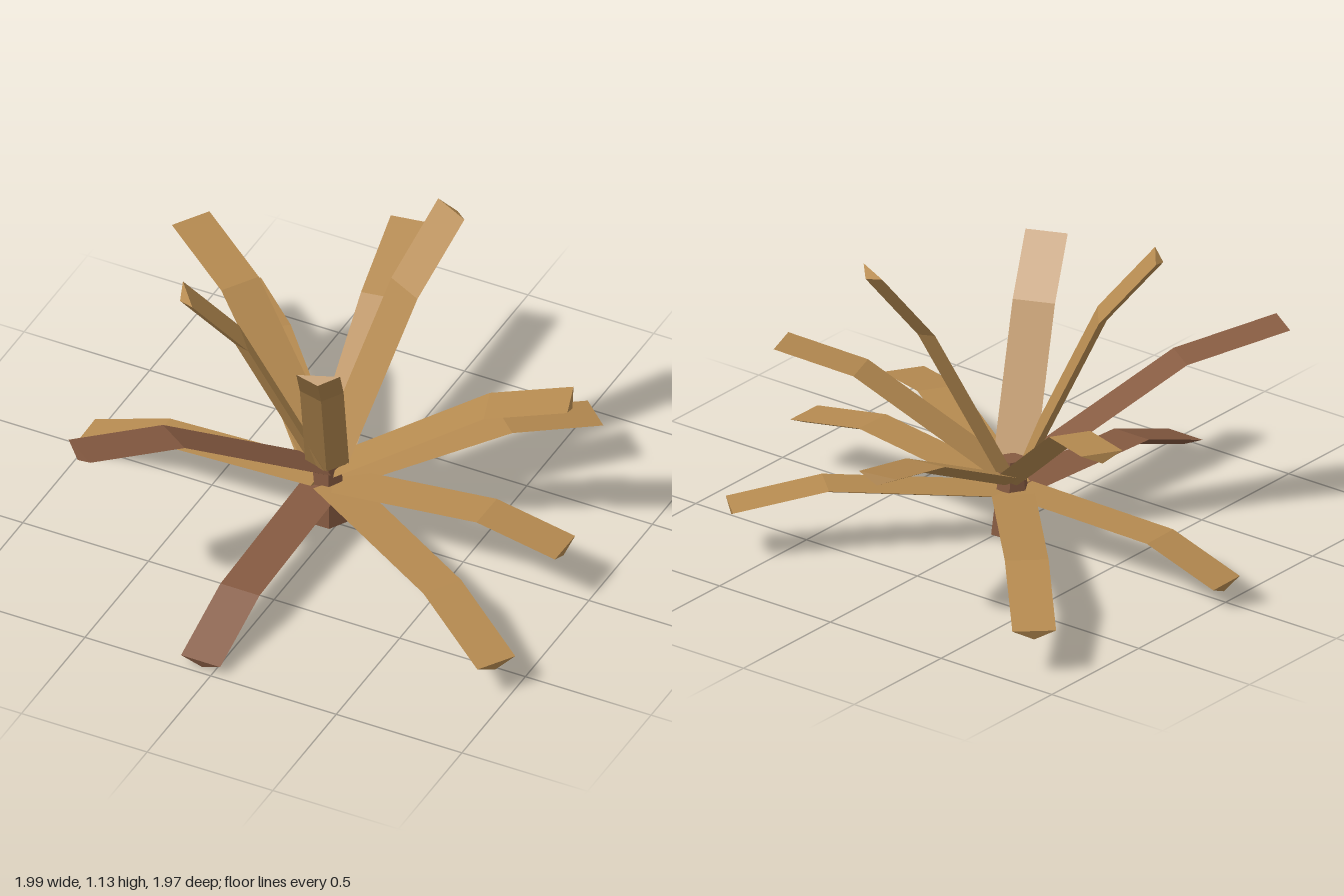
import * as THREE from 'three';

const TAN = 0xb58a50, BROWN = 0x855a41;
const CENTRE = new THREE.Vector3(-0.045, 0, -0.012);
const HALF_WIDTH = 0.078, DEPTH = 0.037;

// Each frond: tip x, y, z, then kink height, kink fraction along the plan, base height
const FRONDS = [
  { tip: [-0.85, 0.17, -0.91], kink: 0.26, at: 0.66, base: 0.18 },
  { tip: [0.64, 0.19, -0.765], kink: 0.25, at: 0.66, base: 0.18 },
  { tip: [0.905, 0.20, 0.0], kink: 0.255, at: 0.67, base: 0.18 },
  { tip: [0.95, 0.13, 0.63], kink: 0.22, at: 0.68, base: 0.18 },
  { tip: [-1.0, 0.07, 0.005], kink: 0.17, at: 0.69, base: 0.185 },
  { tip: [-0.05, 0.032, 0.98], kink: 0.143, at: 0.69, base: 0.175, color: BROWN },
  { tip: [-0.20, 0.62, -0.98], kink: 0.53, at: 0.645, base: 0.24 },
  { tip: [0.78, 0.62, -0.29], kink: 0.56, at: 0.655, base: 0.24 },
  { tip: [-0.845, 0.72, -0.515], kink: 0.65, at: 0.64, base: 0.24 },
  { tip: [-0.605, 0.68, 0.835], kink: 0.60, at: 0.62, base: 0.25, color: BROWN },
  { tip: [0.20, 1.13, -0.50], kink: 0.87, at: 0.62, base: 0.27 },
  { tip: [0.13, 0.98, 0.41], kink: 0.78, at: 0.63, base: 0.27 },
  { tip: [-0.44, 1.08, 0.31], kink: 0.85, at: 0.60, base: 0.27 },
];

// Flat-topped blade with a keel below, swept base -> kink -> tip
function frondGeometry({ tip, kink, at, base }) {
  const end = new THREE.Vector3(...tip);
  const plan = (f, y) => CENTRE.clone().lerp(end, f).setY(y);
  const run = Math.hypot(end.x - CENTRE.x, end.z - CENTRE.z);
  const path = [plan(0.03 / run, base), plan(at, kink), end];
  const up = new THREE.Vector3(0, 1, 0);
  const dir = end.clone().sub(CENTRE).setY(0).normalize();
  const side = dir.clone().cross(up);

  const rings = path.map((p, i) => {
    const tangent = new THREE.Vector3();
    if (i > 0) tangent.add(p.clone().sub(path[i - 1]).normalize());
    if (i < 2) tangent.add(path[i + 1].clone().sub(p).normalize());
    const normal = side.clone().cross(tangent.normalize());
    return [
      p.clone().addScaledVector(side, HALF_WIDTH),
      p.clone().addScaledVector(side, -HALF_WIDTH),
      p.clone().addScaledVector(normal, -DEPTH),
    ];
  });

  const tris = [];
  for (let r = 0; r < 2; r++) {
    for (let i = 0; i < 3; i++) {
      const j = (i + 1) % 3, a = rings[r], b = rings[r + 1];
      tris.push(a[i], b[i], b[j], a[i], b[j], a[j]);
    }
  }
  const [first, , last] = rings;
  tris.push(first[0], first[1], first[2], last[0], last[2], last[1]);
  const geometry = new THREE.BufferGeometry().setFromPoints(tris);
  geometry.computeVertexNormals();
  return geometry;
}

export function createModel() {
  const model = new THREE.Group();
  model.name = 'frondPlant';
  const material = (color) => new THREE.MeshStandardMaterial({ color, flatShading: true });
  const tan = material(TAN), brown = material(BROWN);

  // Short six-sided trunk, tapering upward
  const trunk = new THREE.Mesh(new THREE.CylinderGeometry(0.046, 0.08, 0.285, 6), brown);
  trunk.name = 'trunk';
  trunk.rotation.y = Math.PI / 6;
  trunk.position.copy(CENTRE).setY(0.1525);
  model.add(trunk);

  // Fronds radiating in a low, a middle and a steep tier
  FRONDS.forEach((spec, i) => {
    const frond = new THREE.Mesh(frondGeometry(spec), spec.color ? brown : tan);
    frond.name = `frond${i + 1}`;
    model.add(frond);
  });
  return model;
}
